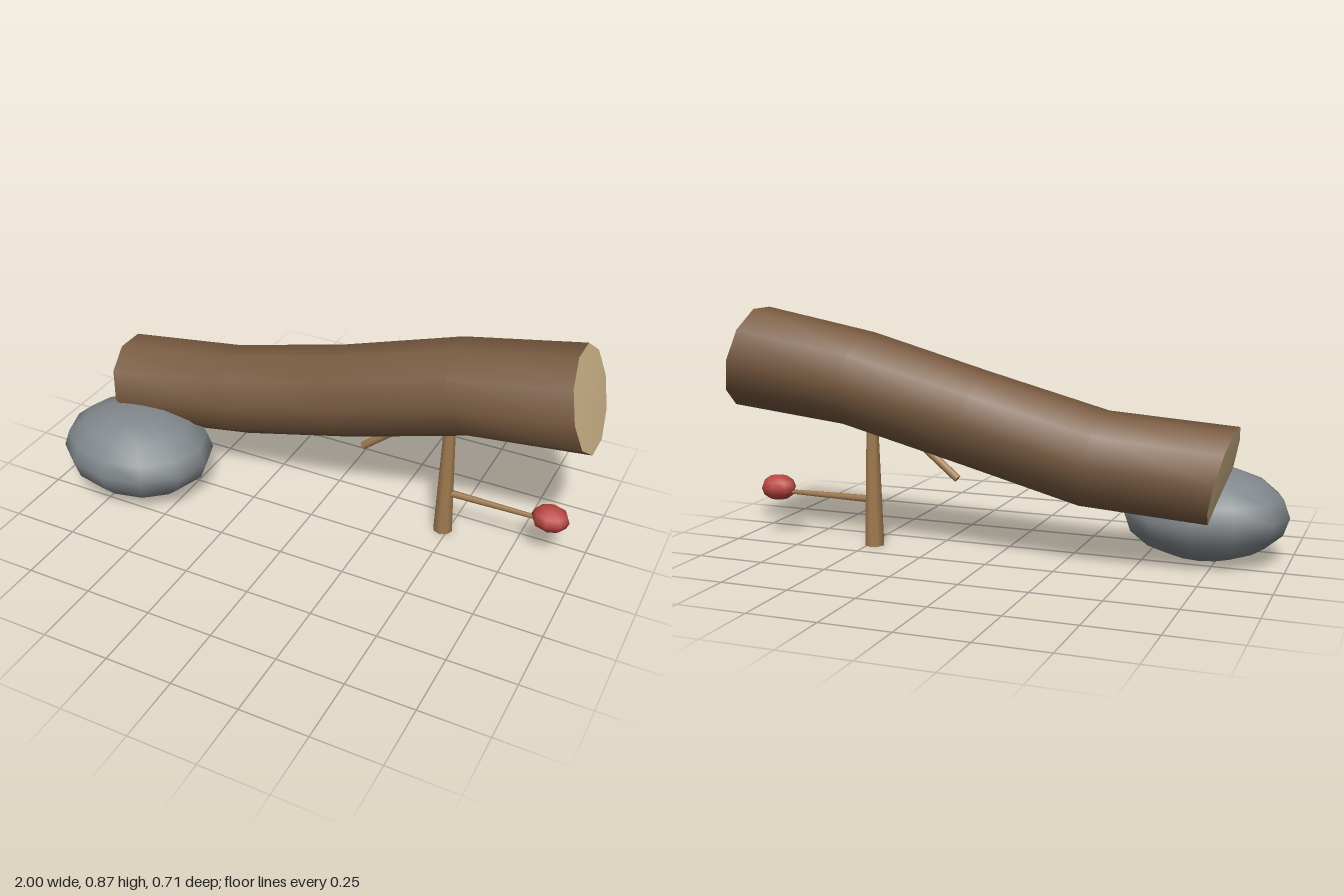
import * as THREE from 'three';

const SIDES = 10;
const TILT = Math.atan(0.25);

// Log cross-sections: centre x, y, z, half height, half width
const SECTIONS = [
  [-0.80, 0.345, -0.09, 0.174, 0.18],
  [-0.36, 0.385, -0.14, 0.174, 0.156],
  [0.08, 0.50, -0.14, 0.174, 0.156],
  [0.52, 0.625, -0.17, 0.176, 0.175],
  [0.955, 0.69, -0.176, 0.193, 0.181],
];

const material = (color) => new THREE.MeshStandardMaterial({ color, roughness: 0.9 });

// Point on a tilted log section; scale shrinks it to the centre, bulge moves it along the log
function sectionPoint([x, y, z, ry, rz], i, scale = 1, bulge = 0) {
  const a = (i / SIDES) * Math.PI * 2;
  const h = Math.sin(a) * ry * scale;
  return [
    x - h * Math.sin(TILT) + bulge * Math.cos(TILT),
    y + h * Math.cos(TILT) + bulge * Math.sin(TILT),
    z + Math.cos(a) * rz * scale,
  ];
}

function geometryFrom(points, index) {
  const g = new THREE.BufferGeometry();
  g.setAttribute('position', new THREE.Float32BufferAttribute(points.flat(), 3));
  g.setIndex(index);
  g.computeVertexNormals();
  return g;
}

function barkGeometry() {
  const points = [], index = [];
  SECTIONS.forEach((s, k) => {
    for (let i = 0; i < SIDES; i++) {
      points.push(sectionPoint(s, i));
      if (k === 0) continue;
      const j = (i + 1) % SIDES, p = (k - 1) * SIDES, q = k * SIDES;
      index.push(p + i, q + i, p + j, p + j, q + i, q + j);
    }
  });
  return geometryFrom(points, index);
}

// Very slightly domed cut face; dir is +1 for the high end, -1 for the low end
function capGeometry(section, dir) {
  const points = [sectionPoint(section, 0, 0, dir * 0.008)], index = [];
  for (let i = 0; i < SIDES; i++) {
    points.push(sectionPoint(section, i));
    const a = i + 1, b = ((i + 1) % SIDES) + 1;
    index.push(0, ...(dir > 0 ? [b, a] : [a, b]));
  }
  return geometryFrom(points, index);
}

// Tapered round stick between two points
function stick(name, from, to, r0, r1, mat, sides = 8) {
  const a = new THREE.Vector3(...from), b = new THREE.Vector3(...to);
  const d = b.clone().sub(a);
  const mesh = new THREE.Mesh(new THREE.CylinderGeometry(r1, r0, d.length(), sides), mat);
  mesh.position.copy(a).add(b).multiplyScalar(0.5);
  mesh.quaternion.setFromUnitVectors(new THREE.Vector3(0, 1, 0), d.normalize());
  mesh.name = name;
  return mesh;
}

function ellipsoid(name, center, radii, segments, rings, mat) {
  const mesh = new THREE.Mesh(new THREE.SphereGeometry(1, segments, rings), mat);
  mesh.scale.set(...radii);
  mesh.position.set(...center);
  mesh.name = name;
  return mesh;
}

export function createModel() {
  const model = new THREE.Group();
  model.name = 'deadfallTrap';
  const bark = material(0x785a40);
  const cutWood = material(0xd2b88c);
  const stickWood = material(0xa07a50);

  // Propped log with pale cut ends
  const log = new THREE.Group();
  log.name = 'log';
  const trunk = new THREE.Mesh(barkGeometry(), bark);
  trunk.name = 'bark';
  const lowEnd = new THREE.Mesh(capGeometry(SECTIONS[0], -1), cutWood);
  lowEnd.name = 'lowCutEnd';
  const highEnd = new THREE.Mesh(capGeometry(SECTIONS[4], 1), cutWood);
  highEnd.name = 'highCutEnd';
  log.add(trunk, lowEnd, highEnd);
  model.add(log);

  // Stone under the low end
  model.add(ellipsoid('stone', [-0.7, 0.169, 0.103], [0.3, 0.168, 0.252], 12, 8, material(0x82888c)));

  // Upright prop, broken branch and trigger twig
  const z = -0.147;
  model.add(stick('propStick', [0.48, 0, z], [0.48, 0.5, z], 0.037, 0.021, stickWood));
  model.add(stick('branchStub', [0.145, 0.275, z], [0.39, 0.48, z], 0.015, 0.017, stickWood));
  model.add(stick('triggerTwig', [0.48, 0.172, z], [0.86, 0.174, z], 0.014, 0.008, stickWood, 6));

  // Berry bait at the tip of the twig
  model.add(ellipsoid('bait', [0.88, 0.187, z], [0.07, 0.049, 0.058], 8, 6, material(0xb94642)));

  return model;
}
